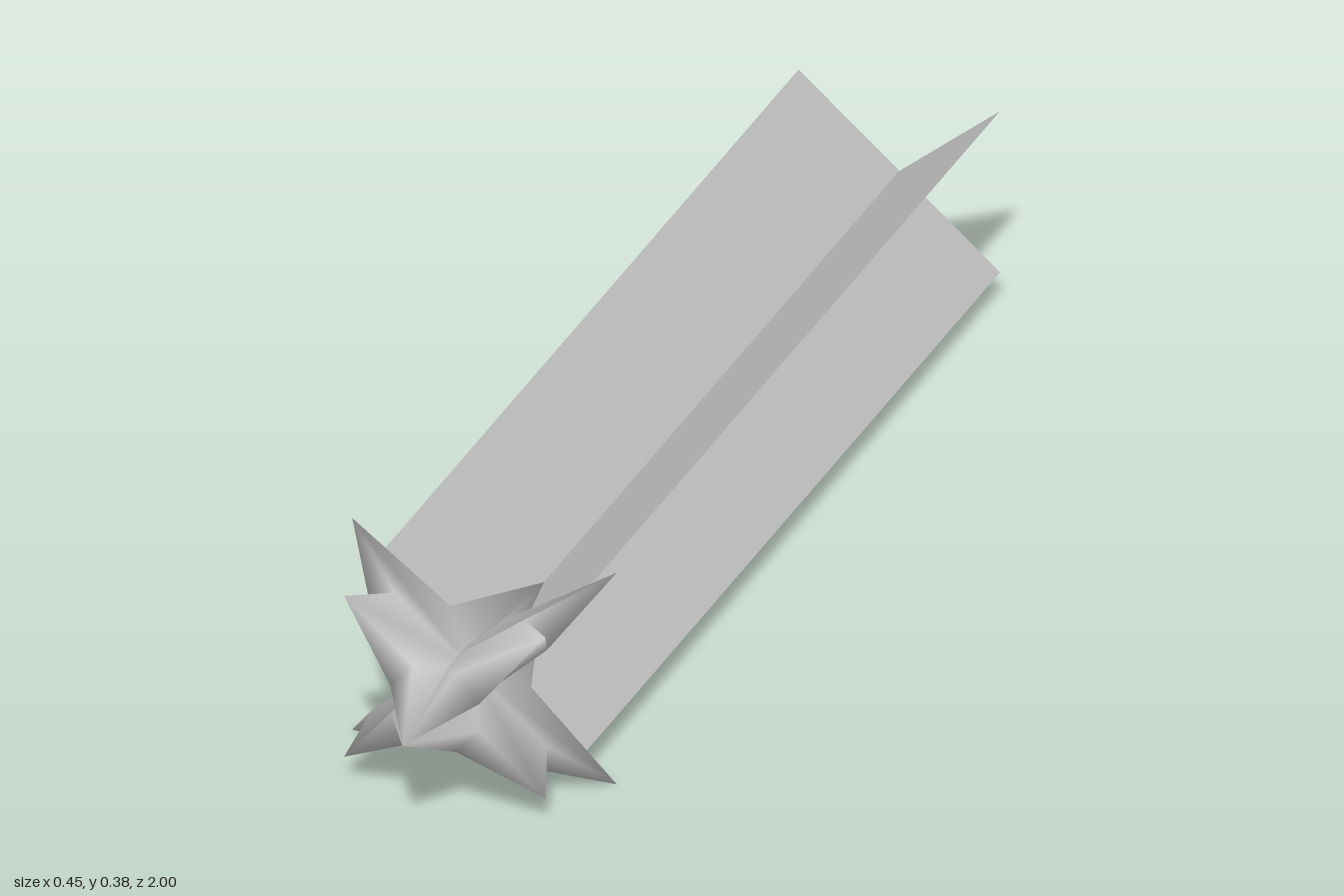
import * as THREE from 'three';

const CENTER_Y = 0.192;
const TILT = THREE.MathUtils.degToRad(40.2);
const HALF_THICKNESS = 0.03;
const CORE = { z: 0.78, t: 0.039 };

// Half outline of the star, nose to tail: sharp tips alternate with thick notches [x, z]
const halfOutline = [
  [0, 1], [0.073, 0.87], [0.2245, 0.83], [0.17, 0.77], [0.295, 0.67], [0.09, 0.69], [0, 0.43],
];

function starGeometry() {
  const mirrored = halfOutline.slice(1, -1).reverse().map(([x, z]) => [-x, z]);
  const outline = [...halfOutline, ...mirrored];
  const positions = [0, CORE.t, CORE.z, 0, -CORE.t, CORE.z];
  const index = [];

  // Tips are single points, notches are an upper and lower pair
  const ring = outline.map(([x, z], i) => {
    const first = positions.length / 3;
    if (i % 2 === 0) {
      positions.push(x, 0, z);
      return { top: first, bottom: first };
    }
    positions.push(x, HALF_THICKNESS, z, x, -HALF_THICKNESS, z);
    return { top: first, bottom: first + 1 };
  });

  ring.forEach((a, i) => {
    const b = ring[(i + 1) % ring.length];
    index.push(0, a.top, b.top); // upper face
    index.push(1, b.bottom, a.bottom); // lower face
    if (i % 2 === 0) index.push(b.top, a.top, b.bottom); // rim from tip to notch
    else index.push(b.top, a.top, a.bottom); // rim from notch to tip
  });

  const geometry = new THREE.BufferGeometry();
  geometry.setAttribute('position', new THREE.Float32BufferAttribute(positions, 3));
  geometry.setIndex(index);
  geometry.computeVertexNormals();
  return geometry;
}

export function createModel() {
  const model = new THREE.Group();
  model.name = 'starWithTrail';
  const grey = new THREE.MeshStandardMaterial({ color: 0xc0c0c0, side: THREE.DoubleSide });
  grey.name = 'light grey';

  const star = starGeometry();
  // Flat ribbon trailing behind the star
  const trail = new THREE.PlaneGeometry(0.449, 1.7);
  trail.rotateX(-Math.PI / 2);
  trail.translate(0, 0, -0.15);

  // Two identical blades crossed along the z axis
  for (const side of [1, -1]) {
    const blade = new THREE.Group();
    blade.name = side > 0 ? 'risingBlade' : 'fallingBlade';
    const starMesh = new THREE.Mesh(star, grey);
    starMesh.name = 'star';
    const trailMesh = new THREE.Mesh(trail, grey);
    trailMesh.name = 'trail';
    blade.add(starMesh, trailMesh);
    blade.rotation.z = side * TILT;
    blade.position.y = CENTER_Y;
    model.add(blade);
  }
  return model;
}
